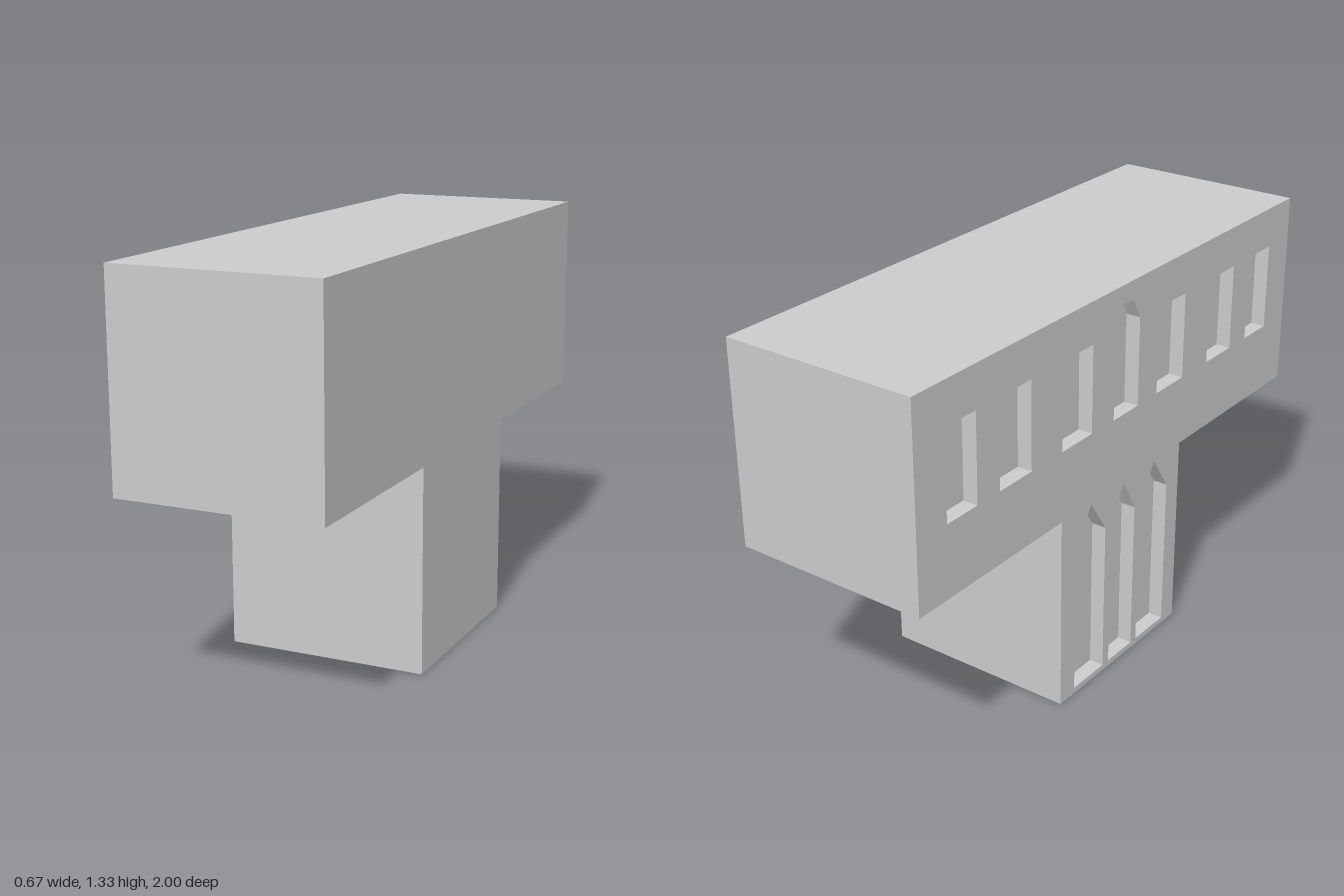
import * as THREE from 'three';

const HALF = 0.333;   // half thickness of the building
const RECESS = 0.05;  // depth of the window niches

// T-shaped side outline, drawn as (z, y)
function outline() {
  const t = 1 / 3, m = 2 / 3, h = 4 / 3;
  return new THREE.Shape([
    [-t, 0], [t, 0], [t, m], [1, m], [1, h], [-1, h], [-1, m], [-t, m],
  ].map(([z, y]) => new THREE.Vector2(z, y)));
}

// Window opening: sill, two jambs and an optional head, given as offsets from the centre
function opening(z, width, sill, spring, head = []) {
  const w = width / 2;
  const pts = [[-w, sill], [-w, spring], ...head, [w, spring], [w, sill]];
  return new THREE.Path(pts.map(([dz, y]) => new THREE.Vector2(z + dz, y)));
}

// Extrude a side outline towards -x, starting at startX
function slab(name, shape, startX, depth, material) {
  const geo = new THREE.ExtrudeGeometry(shape, { depth, bevelEnabled: false });
  geo.rotateY(-Math.PI / 2);
  geo.translate(startX, 0, 0);
  const mesh = new THREE.Mesh(geo, material);
  mesh.name = name;
  return mesh;
}

export function createModel() {
  const group = new THREE.Group();
  group.name = 'building';
  const grey = new THREE.MeshStandardMaterial({ color: 0xcccccc, flatShading: true });

  // Solid core; its -x face is the back of the niches
  group.add(slab('body', outline(), HALF, 2 * HALF - RECESS, grey));

  // Facade layer pierced by the windows
  const facade = outline();

  // Upper row: three plain windows on each side of a centre arch
  for (const side of [-1, 1]) {
    for (const [z, width] of [[0.257, 0.154], [0.56, 0.15], [0.804, 0.134]]) {
      facade.holes.push(opening(side * z, width, 0.904, 1.196));
    }
  }
  facade.holes.push(opening(0.004, 0.134, 0.902, 1.2, [[-0.027, 1.272], [0.027, 1.272]]));

  // Lower row: three tall pointed windows
  for (const [z, width] of [[-0.177, 0.162], [0.004, 0.134], [0.182, 0.162]]) {
    facade.holes.push(opening(z, width, 0.02, 0.54, [[0, 0.659]]));
  }
  group.add(slab('facade', facade, -HALF + RECESS, RECESS, grey));

  return group;
}
